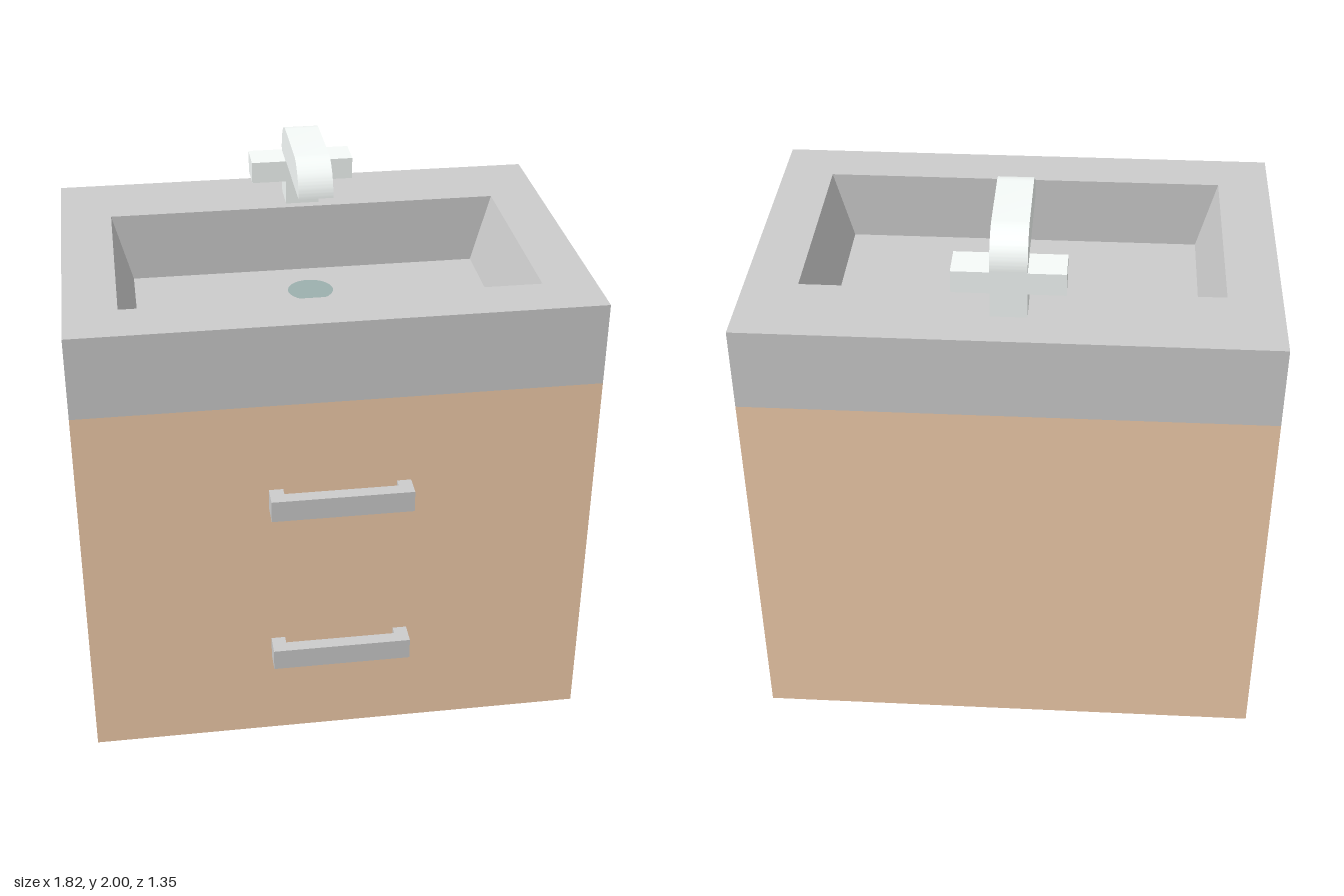
import * as THREE from 'three';
import { toCreasedNormals } from 'three/addons/utils/BufferGeometryUtils.js';

const grey = new THREE.MeshStandardMaterial({ color: 0xcccccc });
const wood = new THREE.MeshStandardMaterial({ color: 0xf2cdab });
const chrome = new THREE.MeshStandardMaterial({ color: 0xf6fbf9 });
const drainMat = new THREE.MeshStandardMaterial({ color: 0x9cb0ae });

const W = 0.91, BACK = -0.675, FRONT = 0.595;
const CABINET_TOP = 1.405, TOP = 1.705, BASIN_FLOOR = 1.445;

function addMesh(parent, name, geometry, material) {
  const mesh = new THREE.Mesh(geometry, material);
  mesh.name = name;
  parent.add(mesh);
  return mesh;
}

// Box given by its minimum and maximum corners
function boxBetween(x0, x1, y0, y1, z0, z1) {
  return new THREE.BoxGeometry(x1 - x0, y1 - y0, z1 - z0)
    .translate((x0 + x1) / 2, (y0 + y1) / 2, (z0 + z1) / 2);
}

// Countertop with sunken basin: rectangular rings joined from underside to basin floor
function countertopGeometry() {
  const rings = [
    [W, BACK, FRONT, CABINET_TOP],
    [W, BACK, FRONT, TOP],
    [0.725, -0.37, 0.405, TOP],
    [0.655, -0.37, 0.405, BASIN_FLOOR],
  ].map(([x, z0, z1, y]) => [[-x, y, z1], [x, y, z1], [x, y, z0], [-x, y, z0]]);
  const pos = [];
  const quad = (a, b, c, d) => pos.push(...a, ...b, ...c, ...a, ...c, ...d);
  for (let r = 0; r < rings.length - 1; r++) {
    for (let i = 0; i < 4; i++) {
      const j = (i + 1) % 4;
      quad(rings[r][i], rings[r][j], rings[r + 1][j], rings[r + 1][i]);
    }
  }
  quad(...rings[3]);
  quad(...[...rings[0]].reverse());
  const g = new THREE.BufferGeometry();
  g.setAttribute('position', new THREE.Float32BufferAttribute(pos, 3));
  g.computeVertexNormals();
  return g;
}

// Spout: side profile with both upper corners rounded, extruded across its width
function spoutGeometry() {
  const z0 = -0.53, z1 = -0.025, y0 = 1.88, r = 0.12, width = 0.125;
  const s = new THREE.Shape();
  s.moveTo(z0, y0);
  s.lineTo(z1, y0);
  s.absarc(z1 - r, y0, r, 0, Math.PI / 2, false);
  s.absarc(z0 + r, y0, r, Math.PI / 2, Math.PI, false);
  const g = new THREE.ExtrudeGeometry(s, { depth: width, bevelEnabled: false, curveSegments: 16 });
  g.translate(0, 0, -width / 2).rotateY(-Math.PI / 2);
  return toCreasedNormals(g, 0.5);
}

// U-shaped drawer pull, extruded upwards
function handleGeometry(y) {
  const s = new THREE.Shape();
  [[-0.25, 0], [-0.25, 0.08], [0.25, 0.08], [0.25, 0], [0.2, 0], [0.2, 0.032], [-0.2, 0.032], [-0.2, 0]]
    .forEach(([x, z], i) => (i ? s.lineTo(x, -z) : s.moveTo(x, -z)));
  return new THREE.ExtrudeGeometry(s, { depth: 0.08, bevelEnabled: false })
    .rotateX(-Math.PI / 2).translate(0, y, FRONT);
}

export function createModel() {
  const model = new THREE.Group();
  model.name = 'vanity';

  addMesh(model, 'cabinet', boxBetween(-W, W, 0, CABINET_TOP, BACK, FRONT), wood);
  addMesh(model, 'countertopWithBasin', countertopGeometry(), grey);

  // Drain disc on the basin floor
  const drain = new THREE.CircleGeometry(0.085, 32).rotateX(-Math.PI / 2);
  addMesh(model, 'drain', drain, drainMat).position.set(0, BASIN_FLOOR + 0.002, -0.18);

  // Faucet
  const faucet = new THREE.Group();
  faucet.name = 'faucet';
  addMesh(faucet, 'post', boxBetween(-0.0625, 0.0625, TOP, 1.88, -0.53, -0.405), chrome);
  addMesh(faucet, 'spout', spoutGeometry(), chrome);
  for (const [name, x0, x1] of [['leftTap', 0.0625, 0.19], ['rightTap', -0.19, -0.0625]]) {
    addMesh(faucet, name, boxBetween(x0, x1, 1.795, 1.875, -0.53, -0.405), chrome);
  }
  model.add(faucet);

  // Drawer handles
  addMesh(model, 'upperHandle', handleGeometry(0.99), grey);
  addMesh(model, 'lowerHandle', handleGeometry(0.343), grey);
  return model;
}
